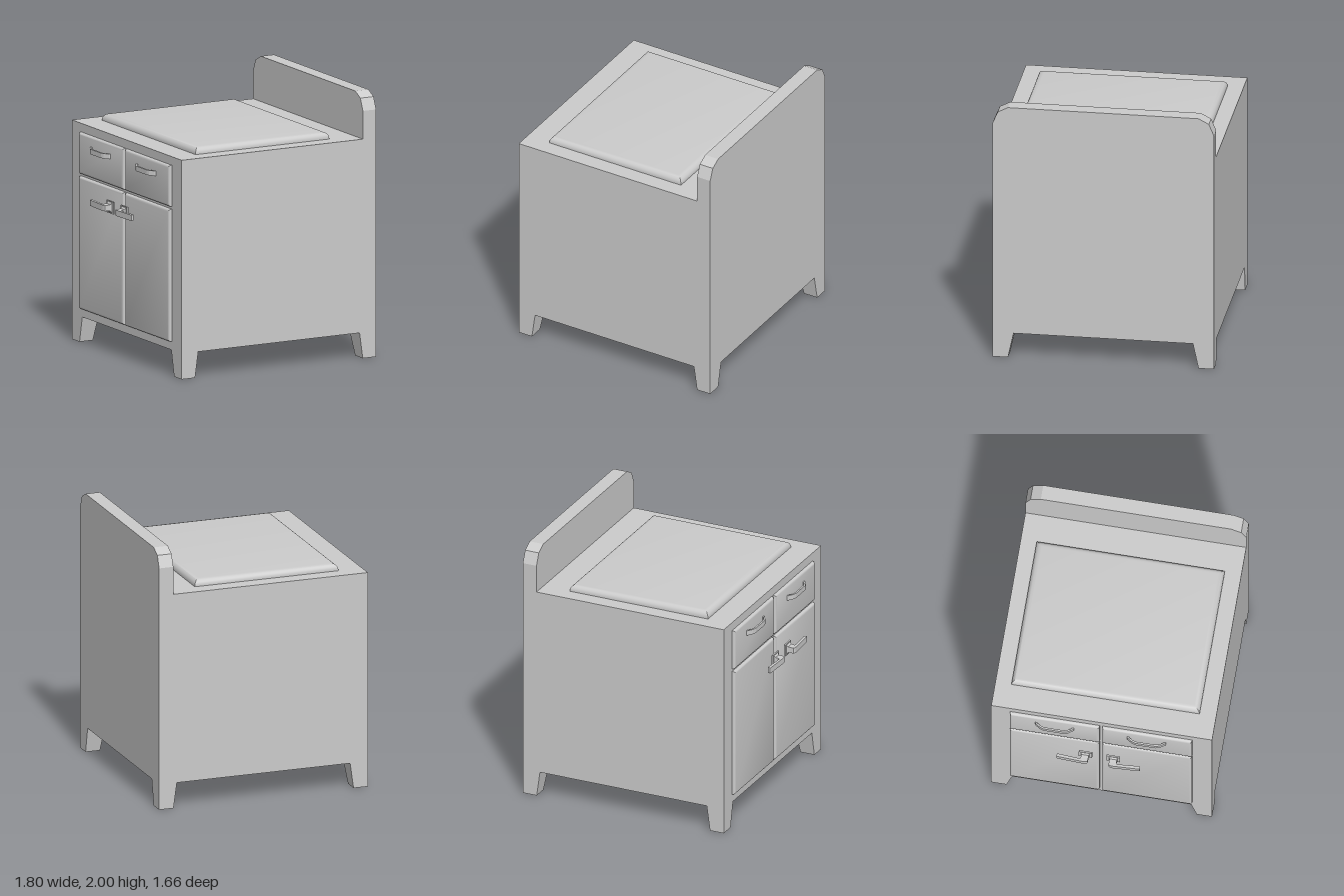
import * as THREE from 'three';
import { toCreasedNormals } from 'three/addons/utils/BufferGeometryUtils.js';

const material = new THREE.MeshStandardMaterial({ color: 0xcccccc });

// Solid from stacked rectangles, each [x0, x1, z0, z1, y], listed bottom to top
function loft(rings) {
  const pos = [], idx = [];
  for (const [x0, x1, z0, z1, y] of rings) {
    pos.push(x1, y, z1, x1, y, z0, x0, y, z0, x0, y, z1);
  }
  for (let r = 0; r < rings.length - 1; r++) {
    for (let i = 0; i < 4; i++) {
      const a = r * 4 + i, b = r * 4 + (i + 1) % 4;
      idx.push(a, b, b + 4, a, b + 4, a + 4);
    }
  }
  const t = (rings.length - 1) * 4;
  idx.push(t, t + 1, t + 2, t, t + 2, t + 3, 0, 2, 1, 0, 3, 2);
  const geo = new THREE.BufferGeometry();
  geo.setAttribute('position', new THREE.Float32BufferAttribute(pos, 3));
  geo.setIndex(idx);
  return toCreasedNormals(geo, 0.6);
}

// Slab with a rounded top edge
function cushion(x0, x1, z0, z1, y0, y1, radius, steps = 5) {
  const rings = [[x0, x1, z0, z1, y0]];
  for (let i = 0; i <= steps; i++) {
    const a = (i / steps) * Math.PI / 2;
    const d = radius * (1 - Math.cos(a));
    rings.push([x0 + d, x1 - d, z0 + d, z1 - d, y1 - radius * (1 - Math.sin(a))]);
  }
  return loft(rings);
}

// Plan outline of [x, z] points, extruded in y about a centre height
function planExtrude(points, yCentre, height) {
  const shape = new THREE.Shape(points.map(([x, z]) => new THREE.Vector2(x, z)));
  const geo = new THREE.ExtrudeGeometry(shape, { depth: height, bevelEnabled: false });
  return geo.rotateX(Math.PI / 2).translate(0, yCentre + height / 2, 0);
}

export function createModel() {
  const model = new THREE.Group();
  model.name = 'cabinet';
  const add = (name, geo, parent = model) => {
    const mesh = new THREE.Mesh(geo, material);
    mesh.name = name;
    parent.add(mesh);
    return mesh;
  };
  const W = 0.828;

  // Carcass
  add('cabinetBody', loft([[-0.755, 0.783, -W, W, 0.195], [-0.755, 0.783, -W, W, 1.657]]));

  // Raised end board with clipped top corners
  const half = [[W, 0.195], [W, 1.87], [0.79, 1.96], [0.713, 2]];
  const outline = [...half, ...half.map(([z, y]) => [-z, y]).reverse()];
  const board = new THREE.Shape(outline.map(([z, y]) => new THREE.Vector2(z, y)));
  add('backBoard', new THREE.ExtrudeGeometry(board, { depth: 0.112, bevelEnabled: false })
    .rotateY(Math.PI / 2).translate(0.783, 0, 0));

  // Tapered corner legs, straight on the outer faces
  for (const sx of [-1, 1]) {
    for (const sz of [-1, 1]) {
      const ring = (w, d, y) => [
        sx < 0 ? -0.755 : 0.895 - w, sx < 0 ? -0.755 + w : 0.895,
        sz < 0 ? -W : W - d, sz < 0 ? -W + d : W, y];
      add('leg', loft([ring(0.113, 0.115, 0), ring(0.14, 0.157, 0.195)]));
    }
  }

  // Rounded top pad
  add('topPad', cushion(-0.567, 0.568, -0.708, 0.703, 1.655, 1.71, 0.046, 6));

  // Two matching bays of drawer, door and handles on the -x side
  for (const s of [-1, 1]) {
    const bay = new THREE.Group();
    bay.name = s < 0 ? 'rightBay' : 'leftBay';
    bay.position.z = -0.004;
    model.add(bay);
    const [z0, z1] = s < 0 ? [-0.684, -0.01] : [0.01, 0.684];
    const toSide = geo => geo.rotateZ(Math.PI / 2); // local x becomes y, local y becomes -x
    add('drawerFront', toSide(cushion(1.28, 1.592, z0, z1, 0.75, 0.78, 0.02, 4)), bay);
    add('doorPanel', toSide(cushion(0.258, 1.26, z0, z1, 0.75, 0.78, 0.02, 4)), bay);

    // Bent strap drawer pull
    const outer = [[-0.775, 0.196], [-0.79, 0.202], [-0.815, 0.24], [-0.823, 0.268]];
    const inner = [[-0.775, 0.214], [-0.786, 0.217], [-0.803, 0.247], [-0.809, 0.27]];
    const mid = 0.344;
    const flip = pts => pts.map(([x, z]) => [x, 2 * mid - z]).reverse();
    const strap = [...outer, ...flip(outer), ...flip(inner).reverse(), ...inner.slice().reverse()];
    // The far inner run goes from its foot up to the bar, then the near one back to its foot
    add('drawerPull', planExtrude(strap.map(([x, z]) => [x, s * z]), 1.497, 0.038), bay);

    // Lever latch: plate, tapering stem and lever arm
    const span = (a, b) => (s < 0 ? [-b, -a] : [a, b]);
    const plate = span(0.054, 0.154);
    add('latchPlate', toSide(loft([[1.092, 1.185, ...plate, 0.825], [1.092, 1.185, ...plate, 0.837]])), bay);
    add('latchStem', toSide(loft([
      [1.1, 1.178, ...span(0.072, 0.138), 0.837],
      [1.115, 1.163, ...span(0.078, 0.134), 0.848],
      [1.118, 1.16, ...span(0.078, 0.134), 0.884]])), bay);
    const lever = [
      [-0.88, 0.078], [-0.891, 0.08], [-0.898, 0.088], [-0.901, 0.105], [-0.892, 0.308],
      [-0.889, 0.312], [-0.87, 0.312], [-0.868, 0.305], [-0.87, 0.285], [-0.88, 0.142], [-0.872, 0.132], [-0.872, 0.078]];
    add('latchLever', planExtrude(lever.map(([x, z]) => [x, s * z]), 1.139, 0.044), bay);
  }
  return model;
}
